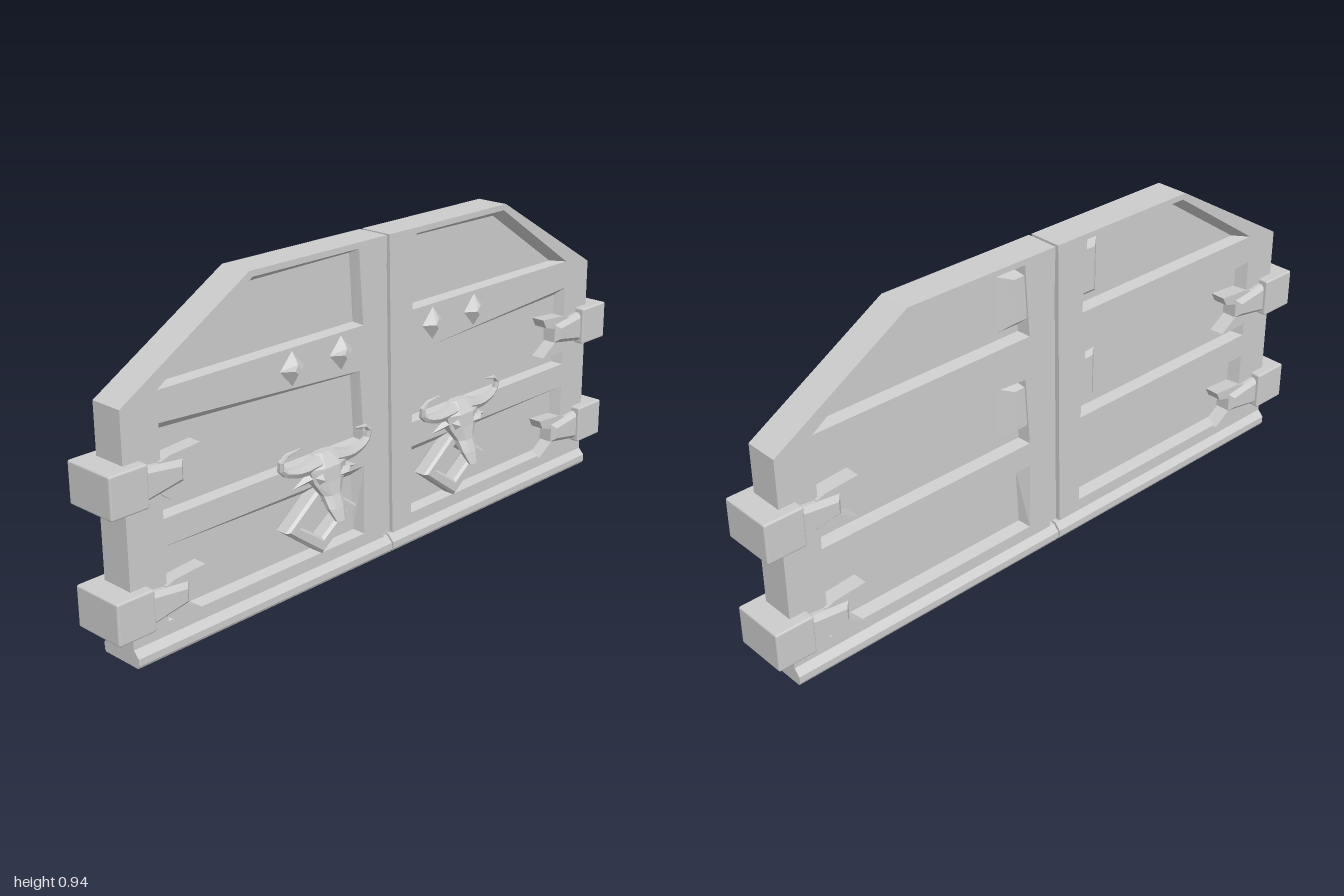
import * as THREE from 'three';
import { RoundedBoxGeometry } from 'three/addons/geometries/RoundedBoxGeometry.js';

const FRONT = 0.018, BACK = -0.085, MID = (FRONT + BACK) / 2;
const grey = new THREE.MeshStandardMaterial({ color: 0xcccccc, flatShading: true });
const smooth = new THREE.MeshStandardMaterial({ color: 0xcccccc });

// Skin over a list of equal-length rings of [x, y, z]; ends closed with fans.
function loft(rings, capStart = true) {
  const pos = [];
  const tri = (a, b, c) => pos.push(...a, ...b, ...c);
  const centre = r => [0, 1, 2].map(k => r.reduce((s, p) => s + p[k], 0) / r.length);
  const first = rings[0], last = rings[rings.length - 1], n = first.length;
  for (let i = 0; i < n; i++) {
    const j = (i + 1) % n;
    for (let r = 0; r < rings.length - 1; r++) {
      tri(rings[r][i], rings[r][j], rings[r + 1][j]);
      tri(rings[r][i], rings[r + 1][j], rings[r + 1][i]);
    }
    tri(centre(last), last[i], last[j]);
    if (capStart) tri(centre(first), first[j], first[i]);
  }
  const g = new THREE.BufferGeometry();
  g.setAttribute('position', new THREE.Float32BufferAttribute(pos, 3));
  g.computeVertexNormals();
  return g;
}

const vecs = pts => pts.map(p => new THREE.Vector2(p[0], p[1]));

// Flat outline extruded between two z values.
function slab(pts, z0, z1, holes = [], bevel = 0) {
  const shape = new THREE.Shape(vecs(pts));
  shape.holes = holes.map(h => new THREE.Path(vecs(h)));
  const g = new THREE.ExtrudeGeometry(shape, {
    depth: z1 - z0 - 2 * bevel, bevelEnabled: bevel > 0, bevelSize: bevel,
    bevelThickness: bevel, bevelOffset: -bevel, bevelSegments: 1,
  });
  return g.translate(0, 0, z0 + bevel);
}

// Mirror across x and restore the winding.
function mirrored(geometry) {
  const g = geometry.index ? geometry.toNonIndexed() : geometry.clone();
  g.scale(-1, 1, 1);
  for (const a of Object.values(g.attributes)) {
    const s = a.itemSize;
    for (let i = 0; i < a.count; i += 3) {
      for (let k = 0; k < s; k++) {
        const p = (i + 1) * s + k, q = (i + 2) * s + k;
        [a.array[p], a.array[q]] = [a.array[q], a.array[p]];
      }
    }
  }
  return g;
}

// Curved horn that narrows towards its tip.
function hornGeometry() {
  const curve = new THREE.CatmullRomCurve3([
    [0.03, 0.378, 0.045], [0.1, 0.37, 0.045], [0.162, 0.39, 0.045],
    [0.165, 0.425, 0.05], [0.105, 0.442, 0.058],
  ].map(p => new THREE.Vector3(...p)));
  const g = new THREE.TubeGeometry(curve, 10, 0.024, 6, false);
  const pos = g.attributes.position, v = new THREE.Vector3();
  for (let i = 0; i < pos.count; i++) {
    const u = g.attributes.uv.getX(i);
    v.fromBufferAttribute(pos, i).lerp(curve.getPointAt(u), u * 0.92);
    pos.setXYZ(i, v.x, v.y, v.z);
  }
  return g;
}

// Horned skull centred on x = 0.
function skullParts() {
  // y, half width, back z, front z from crown to muzzle
  const rings = [
    [0.4, 0.04, 0.02, 0.05], [0.365, 0.075, 0.015, 0.078], [0.325, 0.062, 0.015, 0.082],
    [0.285, 0.036, 0.04, 0.088], [0.25, 0.032, 0.066, 0.102], [0.215, 0.018, 0.092, 0.112],
  ].map(([y, w, zb, zf]) => Array.from({ length: 8 }, (_, i) => {
    const t = (i + 0.5) * Math.PI / 4;
    return [w * Math.cos(t), y, (zb + zf) / 2 + (zf - zb) / 2 * Math.sin(t)];
  }));
  const horn = hornGeometry();
  const ear = new THREE.ConeGeometry(0.02, 0.08, 4)
    .rotateZ(-Math.PI / 2 - 0.25).translate(0.085, 0.335, 0.045);
  const brow = new THREE.OctahedronGeometry(0.02)
    .scale(1.2, 0.8, 0.8).rotateZ(0.4).translate(0.045, 0.34, 0.075);
  return [
    ['skull', loft(rings)],
    ['hornLeft', horn], ['hornRight', mirrored(horn)],
    ['earLeft', ear], ['earRight', mirrored(ear)],
    ['browLeft', brow], ['browRight', mirrored(brow)],
  ];
}

// All parts of the +x door leaf as [name, geometry, material].
function doorParts() {
  const parts = [];
  const add = (name, g, m = grey) => parts.push([name, g, m]);

  // Panel openings: outer corners and the narrower corners at the panel
  const openings = [
    { outer: [[0.1, 0.71], [0.82, 0.71], [0.5, 0.928], [0.115, 0.928]],
      inner: [[0.108, 0.716], [0.775, 0.716], [0.49, 0.908], [0.12, 0.912]] },
    { outer: [[0.1, 0.37], [0.82, 0.37], [0.82, 0.625], [0.115, 0.582]],
      inner: [[0.108, 0.376], [0.805, 0.376], [0.805, 0.598], [0.12, 0.565]] },
    { outer: [[0.1, 0.085], [0.82, 0.085], [0.82, 0.295], [0.1, 0.295]],
      inner: [[0.11, 0.093], [0.805, 0.093], [0.805, 0.275], [0.12, 0.265]] },
  ];

  // Frame with three openings
  add('doorFrame', slab(
    [[0.02, 0.03], [0.935, 0.03], [0.935, 0.69], [0.51, 0.945], [0.005, 0.945]],
    BACK, FRONT, openings.map(o => o.outer)));
  add('doorSeam', slab([[0, 0.03], [0.03, 0.03], [0.03, 0.935], [0, 0.935]], BACK + 0.015, FRONT - 0.012));

  // Recessed panels with sloping edges on both faces
  const at = (pts, z) => pts.map(([x, y]) => [x, y, z]);
  for (const { outer, inner } of openings) {
    add('frontPanel', loft([at(outer, FRONT), at(inner, -0.015)], false));
    add('backPanel', loft([at(outer, BACK).reverse(), at(inner, -0.048).reverse()], false));
  }

  // Wedges on the back beside the meeting edge
  for (const [y0, y1] of [[0.735, 0.905], [0.4, 0.565]]) {
    const ring = (x, a, b, z) => [[x[0], a, z], [x[0], b, z], [x[1], b, z], [x[1], a, z]];
    add('backWedge', loft([
      ring([0.1, 0.19], y0, y1, -0.045),
      ring([0.1, 0.15], y0 + 0.03, y1 - 0.01, -0.08),
    ]));
  }

  // Wider bottom rail with chamfered top edges
  const c = -MID;
  add('bottomRail', slab([
    [c - 0.066, 0], [c + 0.066, 0], [c + 0.07, 0.008], [c + 0.07, 0.028],
    [c + 0.051, 0.048], [c - 0.051, 0.048], [c - 0.07, 0.028], [c - 0.07, 0.008],
  ], 0.003, 0.935).rotateY(Math.PI / 2));

  // Hinges: block over the edge, tapered arm and notched plate
  for (const y of [0.487, 0.15]) {
    add('hingeBlock', new RoundedBoxGeometry(0.118, 0.118, 0.166, 2, 0.006).translate(0.941, y, -0.034), smooth);
    add('hingeArm', slab([
      [0.76, y - 0.028], [0.89, y - 0.05], [0.89, y + 0.045], [0.76, y + 0.03],
    ], BACK - 0.025, FRONT + 0.025, [], 0.014));
    add('hingePlate', slab([
      [0.705, y - 0.068], [0.8, y - 0.068], [0.83, y - 0.045], [0.83, y + 0.04],
      [0.8, y + 0.05], [0.7, y + 0.058], [0.715, y + 0.03], [0.765, y + 0.015], [0.765, y - 0.03],
    ], BACK - 0.01, FRONT + 0.01));
  }

  // Blunt pyramid studs on the middle rail
  for (const x of [0.187, 0.37]) {
    const ring = (w, h, z, dy) => [[x + w, 0.652, z], [x, 0.652 + h + dy, z], [x - w, 0.652, z], [x, 0.652 - h + dy, z]];
    add('stud', loft([ring(0.048, 0.053, FRONT - 0.003, 0), ring(0.01, 0.014, 0.042, 0.003)]));
  }

  // Diamond ring and skull ornament
  const diamond = (w, h) => [[0.28 + w, 0.195], [0.28, 0.195 + h], [0.28 - w, 0.195], [0.28, 0.195 - h]];
  add('diamondRing', slab(diamond(0.137, 0.105), -0.016, 0.036, [diamond(0.08, 0.055)], 0.008));
  for (const [name, g] of skullParts()) add(name, g.translate(0.28, 0, 0));
  return parts;
}

export function createModel() {
  const model = new THREE.Group();
  model.name = 'doubleGate';
  const left = new THREE.Group(), right = new THREE.Group();
  left.name = 'leftDoor';
  right.name = 'rightDoor';
  for (const [name, geometry, material] of doorParts()) {
    const a = new THREE.Mesh(geometry, material);
    const b = new THREE.Mesh(mirrored(geometry), material);
    a.name = b.name = name;
    left.add(a);
    right.add(b);
  }
  model.add(left, right);
  return model;
}
